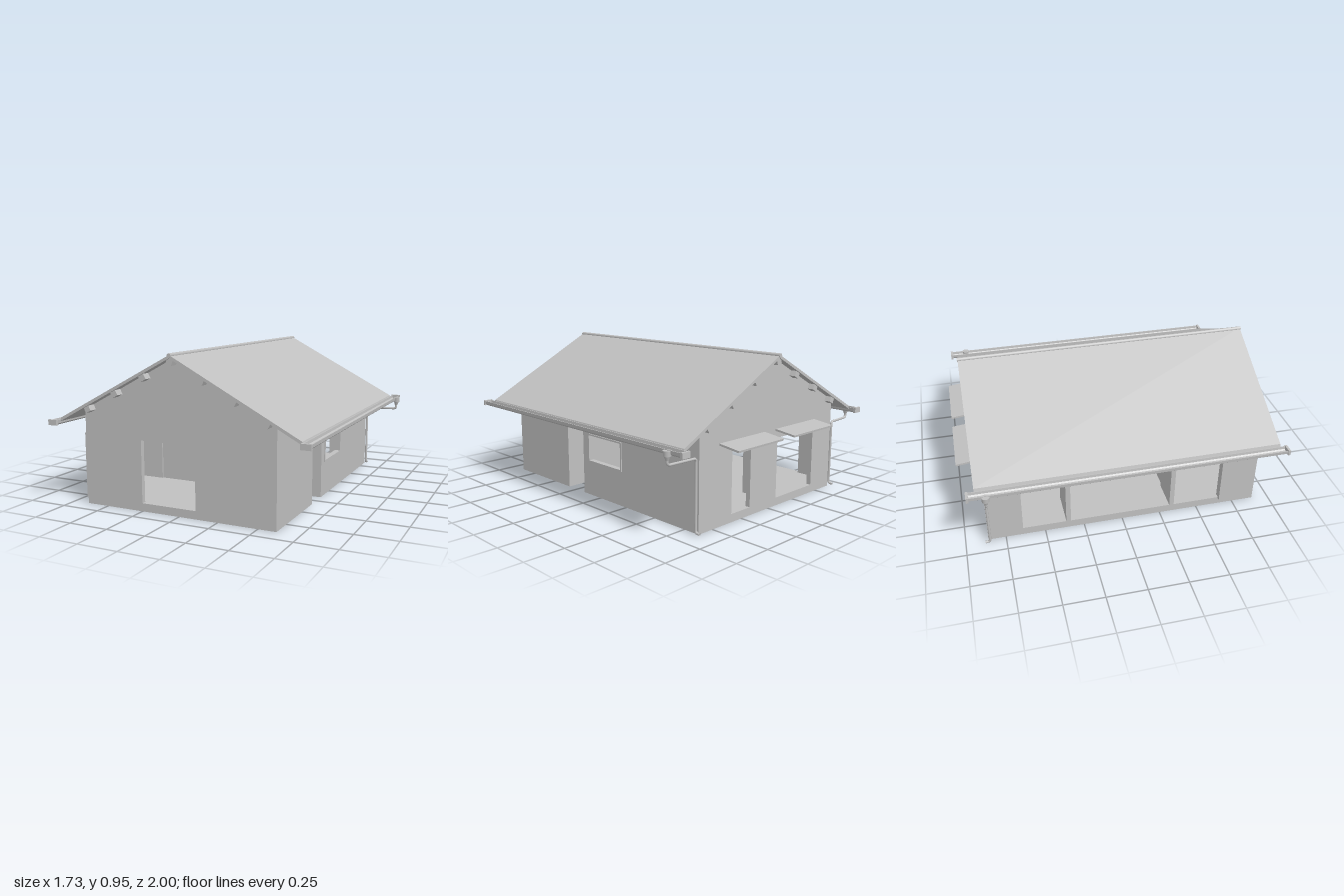
import * as THREE from 'three';

export function createModel() {
  const house = new THREE.Group();
  house.name = 'house';
  const gray = new THREE.MeshStandardMaterial({ color: 0xc0c0c0, side: THREE.DoubleSide });
  gray.name = 'plain gray';

  const add = (name, geometry) => {
    const mesh = new THREE.Mesh(geometry, gray);
    mesh.name = name;
    house.add(mesh);
    return mesh;
  };
  const box = (name, x0, x1, y0, y1, z0, z1) =>
    add(name, new THREE.BoxGeometry(x1 - x0, y1 - y0, z1 - z0)
      .translate((x0 + x1) / 2, (y0 + y1) / 2, (z0 + z1) / 2));
  const shapeOf = (points) => new THREE.Shape(points.map(([x, y]) => new THREE.Vector2(x, y)));
  const slab = (points, holes, depth) => {
    const shape = shapeOf(points);
    for (const [a, b, c, d] of holes) shape.holes.push(shapeOf([[a, c], [a, d], [b, d], [b, c]]));
    return new THREE.ExtrudeGeometry(shape, { depth, bevelEnabled: false });
  };

  const L = -0.645, R = 0.612, F = 0.893, B = -0.86, T = 0.03;
  const ridgeX = -0.01, slope = 0.53;
  const under = (x) => 0.925 - slope * Math.abs(x - ridgeX);

  // Gable walls with their openings
  const gable = [[L, 0], [R, 0], [R, under(R)], [ridgeX, 0.925], [L, under(L)]];
  add('frontWall', slab(gable, [[-0.25, 0.11, 0.05, 0.43]], T).translate(0, 0, F - T));
  add('backWall', slab(gable, [[-0.445, -0.075, 0.05, 0.43], [0.175, 0.34, 0.05, 0.43]], T)
    .translate(0, 0, B));

  // Side walls, drawn along z and turned to face x
  const sideWall = (name, outer, z0, z1, holes) =>
    add(name, slab([[z0, 0], [z1, 0], [z1, 0.58], [z0, 0.58]], holes, T)
      .rotateY(-Math.PI / 2).translate(outer, 0, 0));
  sideWall('leftWallFront', R, 0.33, F - T, []);
  sideWall('leftWallBack', R, B + T, 0.165, [[-0.21, 0.105, 0.225, 0.4]]);
  sideWall('openSideWall', L + T, B + T, F - T, [[-0.64, -0.365, 0.05, 0.44],
    [-0.335, 0.315, 0.05, 0.44], [0.345, 0.65, 0.05, 0.44]]);
  box('slidingPanel', L - 0.018, L, 0.04, 0.44, 0.65, 0.88);

  // Window frame
  for (const [y0, y1] of [[0.22, 0.23], [0.395, 0.405]])
    box('windowRail', R - T, R + 0.006, y0, y1, -0.215, 0.11);
  for (const z of [-0.215, 0.1]) box('windowStile', R - T, R + 0.006, 0.23, 0.395, z, z + 0.01);

  // Entrance recess with its door
  const inner = 0.34;
  box('recessWallFront', inner - T, R, 0, 0.58, 0.33, 0.33 + T);
  box('recessWallBack', inner - T, R, 0, 0.58, 0.165 - T, 0.165);
  box('recessInnerWall', inner - T, inner, 0, 0.58, 0.165, 0.33);
  box('entranceDoor', inner, inner + 0.008, 0.05, 0.43, 0.225, 0.315);
  box('entranceSidePanel', inner, inner + 0.004, 0.05, 0.43, 0.17, 0.225);
  box('recessCeiling', inner, R, 0.5, 0.51, 0.165, 0.33);

  // Floor with the recess cut out
  add('floor', slab([[L + T, -(F - T)], [R - T, -(F - T)], [R - T, -0.345], [inner - 0.01, -0.345],
    [inner - 0.01, -0.15], [R - T, -0.15], [R - T, -(B + T)], [L + T, -(B + T)]], [], 0.012)
    .rotateX(-Math.PI / 2).translate(0, 0.038, 0));

  // Partitions, reaching below the floor as footings
  const partitions = [
    [L + T, -0.45, 0.315, 0.345], [-0.09, inner - T, 0.33, 0.36],
    [L + T, -0.42, -0.365, -0.335], [-0.01, 0.19, -0.365, -0.335], [0.5, R - T, -0.365, -0.335],
    [-0.04, -0.01, B + T, -0.65], [-0.04, -0.01, -0.45, -0.335],
  ];
  for (const [x0, x1, z0, z1] of partitions) box('partition', x0, x1, 0, 0.58, z0, z1);
  box('innerDoor', -0.45, -0.09, 0.05, 0.56, 0.325, 0.335);

  // Roof planes and ridge cap
  const zBack = -0.91, zFront = 0.957, length = zFront - zBack;
  for (const s of [-1, 1]) {
    const eave = s * 0.785;
    const yEave = under(eave);
    add('roofPlane', slab([[ridgeX, 0.925], [eave, yEave], [eave - s * 0.008, yEave + 0.024],
      [ridgeX, 0.943]], [], length).translate(0, 0, zBack));
  }
  add('ridgeCap', new THREE.CylinderGeometry(0.013, 0.013, length + 0.008, 8)
    .rotateX(Math.PI / 2).translate(ridgeX, 0.94, (zFront + zBack) / 2));

  // Purlins showing under the gable overhangs
  for (let i = -3; i <= 3; i++) {
    const x = ridgeX + i * 0.196;
    const purlin = box('purlin', -0.019, 0.019, -0.034, 0, -0.9, 0.945);
    purlin.position.set(x, under(x) + (i ? 0 : -0.004), 0);
    purlin.rotation.z = i ? -Math.sign(i) * Math.atan(slope) : -0.35;
  }

  // Gutters and downpipes
  for (const s of [-1, 1]) {
    const gx = s * 0.812;
    const outline = [[-0.027, 0.523], [-0.025, 0.503], [-0.015, 0.494], [0.015, 0.494], [0.025, 0.503],
      [0.027, 0.523], [0.022, 0.523], [0.02, 0.507], [0.012, 0.5], [-0.012, 0.5], [-0.02, 0.507],
      [-0.022, 0.523]];
    add('gutter', slab(outline, [], 1.95).translate(gx, 0, -0.955));
    for (const z of [-0.96, 0.985])
      box('gutterEnd', gx - 0.03, gx + 0.03, 0.493, 0.527, z, z + 0.015);

    const px = s * 0.842, wx = s < 0 ? -0.674 : 0.625, z = -0.85;
    add('funnel', new THREE.CylinderGeometry(0.024, 0.022, 0.03, 12).translate(px, 0.505, z));
    add('funnelNeck', new THREE.CylinderGeometry(0.018, 0.009, 0.025, 12).translate(px, 0.478, z));
    const corners = [[px, 0.48, z], [px, 0.44, z], [wx, 0.435, z], [wx, 0.012, z], [wx, 0.01, z - 0.03]]
      .map((p) => new THREE.Vector3(...p));
    const path = new THREE.CurvePath();
    let last = corners[0];
    for (let i = 1; i < corners.length - 1; i++) {
      const c = corners[i];
      const toward = (q) => c.clone().add(q.clone().sub(c).setLength(Math.min(0.02, c.distanceTo(q) / 2)));
      const a = toward(corners[i - 1]), b = toward(corners[i + 1]);
      path.add(new THREE.LineCurve3(last, a));
      path.add(new THREE.QuadraticBezierCurve3(a, c, b));
      last = b;
    }
    path.add(new THREE.LineCurve3(last, corners[corners.length - 1]));
    add('downpipe', new THREE.TubeGeometry(path, 160, 0.008, 8));
  }

  // Sloping canopies over the back openings
  for (const x of [-0.255, 0.25]) {
    const canopy = box('canopy', -0.2, 0.2, -0.006, 0.006, -0.073, 0.073);
    canopy.position.set(x, 0.474, -0.926);
    canopy.rotation.x = -0.12;
  }
  return house;
}
